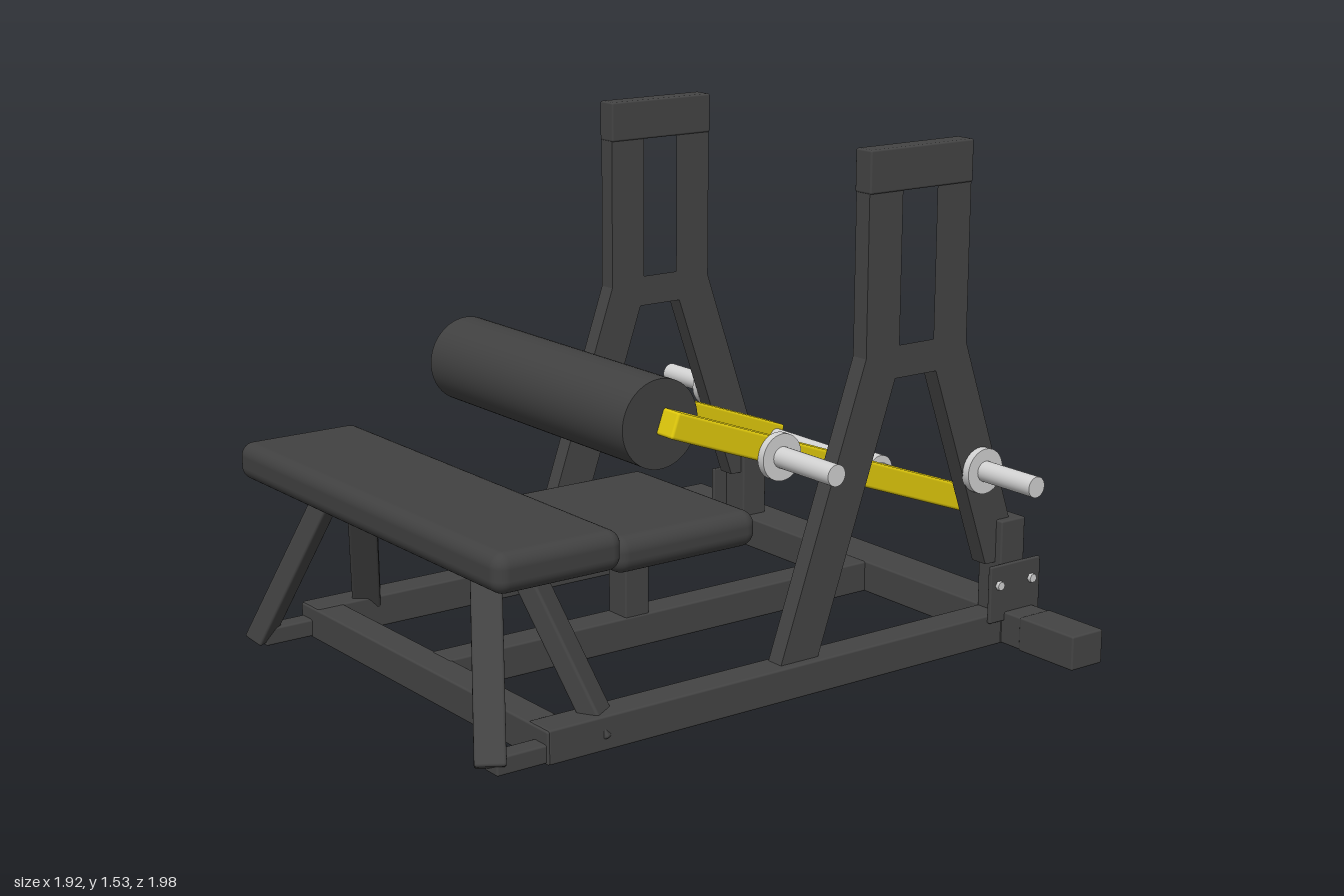
import * as THREE from 'three';
import { RoundedBoxGeometry } from 'three/addons/geometries/RoundedBoxGeometry.js';

export function createModel() {
  const root = new THREE.Group();
  root.name = 'gluteBridgeMachine';
  const mat = (name, color) => {
    const m = new THREE.MeshStandardMaterial({ color });
    m.name = name;
    return m;
  };
  const frame = mat('charcoal frame', 0x444444);
  const pad = mat('dark padding', 0x414141);
  const yellow = mat('yellow arm', 0xe2cb0c);
  const steel = mat('bright steel', 0xd2d2d2);

  const add = (name, geo, m) => {
    const mesh = new THREE.Mesh(geo, m);
    mesh.name = name;
    root.add(mesh);
    return mesh;
  };
  // Box given by its extents on each axis, with slightly rounded edges
  const block = (name, m, [x0, x1], [y0, y1], [z0, z1], r = 0.006) => {
    const mesh = add(name, new RoundedBoxGeometry(x1 - x0, y1 - y0, z1 - z0, r > 0.02 ? 5 : 2, r), m);
    mesh.position.set((x0 + x1) / 2, (y0 + y1) / 2, (z0 + z1) / 2);
    return mesh;
  };
  // Square tube running between two points
  const beam = (name, m, a, b, w, h) => {
    const p = new THREE.Vector3(...a), q = new THREE.Vector3(...b);
    const mesh = add(name, new RoundedBoxGeometry(w, h, p.distanceTo(q), 2, 0.008), m);
    mesh.position.copy(p).add(q).multiplyScalar(0.5);
    mesh.lookAt(q);
    return mesh;
  };
  // Round bar lying along x
  const rod = (name, m, x0, x1, y, z, r, sides = 32) => {
    const mesh = add(name, new THREE.CylinderGeometry(r, r, Math.abs(x1 - x0), sides), m);
    mesh.rotation.z = Math.PI / 2;
    mesh.position.set((x0 + x1) / 2, y, z);
    return mesh;
  };
  const span = (s, a, b) => (s > 0 ? [a, b] : [-b, -a]);

  // Floor frame
  block('rearCrossBar', frame, [-0.665, 0.665], [0.01, 0.11], [-0.99, -0.845]);
  block('frontCrossBar', frame, [-0.66, 0.66], [0.01, 0.105], [0.69, 0.785]);
  block('centreRail', frame, [-0.048, 0.048], [0.01, 0.108], [-0.86, 0.7]);

  // A-shaped upright outline, drawn with its x axis along -z
  const tower = new THREE.Shape([
    [0.02, 0.1], [0.315, 0.95], [0.315, 1.535], [0.695, 1.535], [0.695, 0.95],
    [0.935, 0.26], [0.8, 0.26], [0.58, 0.88], [0.425, 0.88], [0.155, 0.1],
  ].map(([u, v]) => new THREE.Vector2(u, v)));
  tower.holes.push(new THREE.Path([
    [0.438, 0.975], [0.438, 1.415], [0.567, 1.415], [0.567, 0.975],
  ].map(([u, v]) => new THREE.Vector2(u, v))));
  const towerGeo = new THREE.ExtrudeGeometry(tower, { depth: 0.056, bevelEnabled: false });
  towerGeo.translate(0, 0, -0.028);
  towerGeo.rotateY(Math.PI / 2);

  for (const s of [1, -1]) {
    block('sideRail', frame, span(s, 0.565, 0.662), [0.01, 0.108], [-0.9, 0.78]);
    block('rearStub', frame, span(s, 0.65, 0.955), [0.012, 0.112], [-0.965, -0.848]);
    block('stubCap', frame, span(s, 0.74, 0.96), [0.01, 0.114], [-0.968, -0.845]);

    // Upright with its thicker head
    add('upright', towerGeo, frame).position.x = s * 0.608;
    block('uprightHead', frame, span(s, 0.575, 0.642), [1.415, 1.538], [-0.697, -0.313]);
    block('rearPost', frame, span(s, 0.565, 0.66), [0.1, 0.39], [-0.935, -0.84]);

    // Bolted bracket plate
    block('bracketPlate', frame, span(s, 0.66, 0.674), [0.085, 0.26], [-0.99, -0.79], 0.004);
    for (const z of [-0.822, -0.952]) rod('bolt', steel, s * 0.672, s * 0.686, 0.2, z, 0.014, 6);

    // Swinging arm
    beam('swingArm', yellow, [s * 0.512, 0.835, 0.29], [s * 0.512, 0.395, -0.925], 0.085, 0.076);

    // Weight horns on the arm and on the upright
    rod('armHorn', steel, s * 0.55, s * 0.81, 0.695, -0.065, 0.031);
    rod('armHornCollar', steel, s * 0.553, s * 0.578, 0.695, -0.065, 0.068);
    rod('storageHorn', steel, s * 0.63, s * 0.87, 0.557, -0.765, 0.031);
    rod('storageHornCollar', steel, s * 0.634, s * 0.66, 0.557, -0.765, 0.068);

    // Bench legs and foot bar
    beam('benchFrontLeg', frame, [s * 0.63, 0.035, 0.945], [s * 0.42, 0.505, 0.815], 0.085, 0.06);
    beam('benchBackLeg', frame, [s * 0.63, 0.035, 0.575], [s * 0.42, 0.505, 0.705], 0.085, 0.06);
    block('benchFootBar', frame, span(s, 0.595, 0.655), [0.015, 0.067], [0.57, 0.94]);
  }

  // Pivot shaft between the arms
  rod('pivotShaft', steel, -0.555, 0.555, 0.4, -0.9, 0.025);
  rod('pivotCollar', steel, -0.05, 0.05, 0.4, -0.9, 0.048);

  // Hip roller
  rod('hipRoller', pad, -0.487, 0.487, 0.826, 0.29, 0.127, 64);

  // Back bench
  block('benchSupport', frame, [-0.5, 0.5], [0.452, 0.525], [0.72, 0.8]);
  block('benchPad', pad, [-0.7, 0.7], [0.515, 0.627], [0.56, 0.96], 0.04);

  // Seat on its post
  block('seatPost', frame, [-0.044, 0.044], [0.1, 0.35], [0, 0.086]);
  block('seatPad', pad, [-0.295, 0.295], [0.337, 0.447], [-0.215, 0.297], 0.045);

  return root;
}
